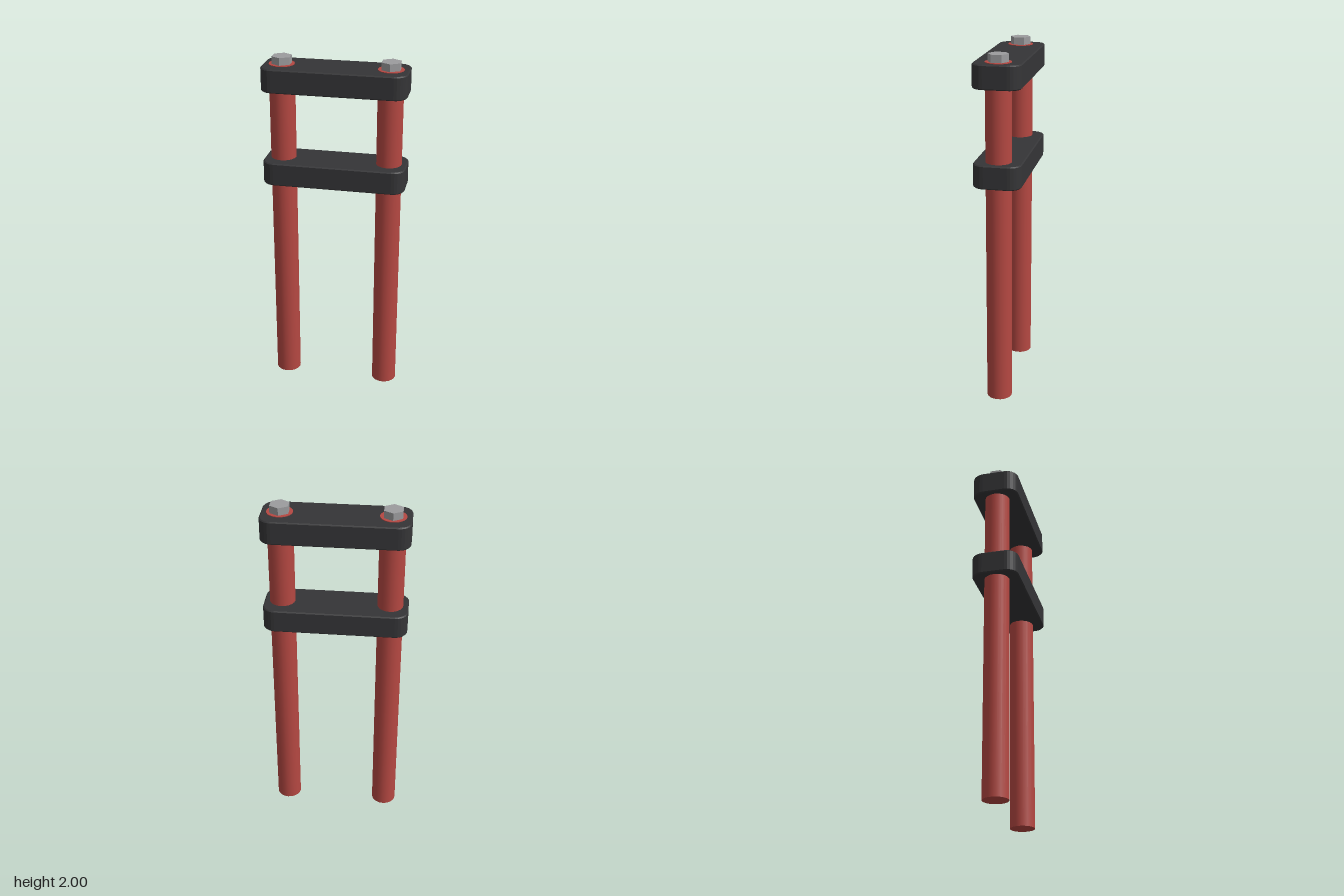
import * as THREE from 'three';

const red = new THREE.MeshStandardMaterial({ color: 0xb54842 });
const black = new THREE.MeshStandardMaterial({ color: 0x353537 });
const steel = new THREE.MeshStandardMaterial({ color: 0x9c9c9e, flatShading: true });

// Rounded clamp plate lying flat, with a fine bevel, centred on its own origin
function plateGeometry(halfX, halfZ, height, radius, bevel) {
  const x = halfX - bevel, z = halfZ - bevel, r = radius - bevel;
  const shape = new THREE.Shape();
  shape.absarc(x - r, z - r, r, 0, Math.PI / 2);
  shape.absarc(-x + r, z - r, r, Math.PI / 2, Math.PI);
  shape.absarc(-x + r, -z + r, r, Math.PI, Math.PI * 1.5);
  shape.absarc(x - r, -z + r, r, Math.PI * 1.5, Math.PI * 2);
  const geometry = new THREE.ExtrudeGeometry(shape, {
    depth: height - 2 * bevel, curveSegments: 3,
    bevelThickness: bevel, bevelSize: bevel, bevelSegments: 1,
  });
  return geometry.rotateX(-Math.PI / 2).center();
}

export function createModel() {
  const model = new THREE.Group();
  model.name = 'forkTubes';

  const add = (name, geometry, material, x, y) => {
    const mesh = new THREE.Mesh(geometry, material);
    mesh.name = name;
    mesh.position.set(x, y, 0);
    model.add(mesh);
  };

  // Upper and lower clamps
  const plate = plateGeometry(0.403, 0.134, 0.132, 0.069, 0.006);
  add('upperClamp', plate, black, 0, 1.889);
  add('lowerClamp', plate, black, 0, 1.35);

  // Tubes, each capped with a hexagonal bolt
  const tubeTop = 1.958;
  const tube = new THREE.CylinderGeometry(0.072, 0.072, tubeTop, 20);
  const bolt = new THREE.CylinderGeometry(0.058, 0.058, 2 - tubeTop, 6);
  for (const [side, x] of [['left', 0.302], ['right', -0.302]]) {
    add(side + 'Tube', tube, red, x, tubeTop / 2);
    add(side + 'Bolt', bolt, steel, x, (tubeTop + 2) / 2);
  }
  return model;
}
